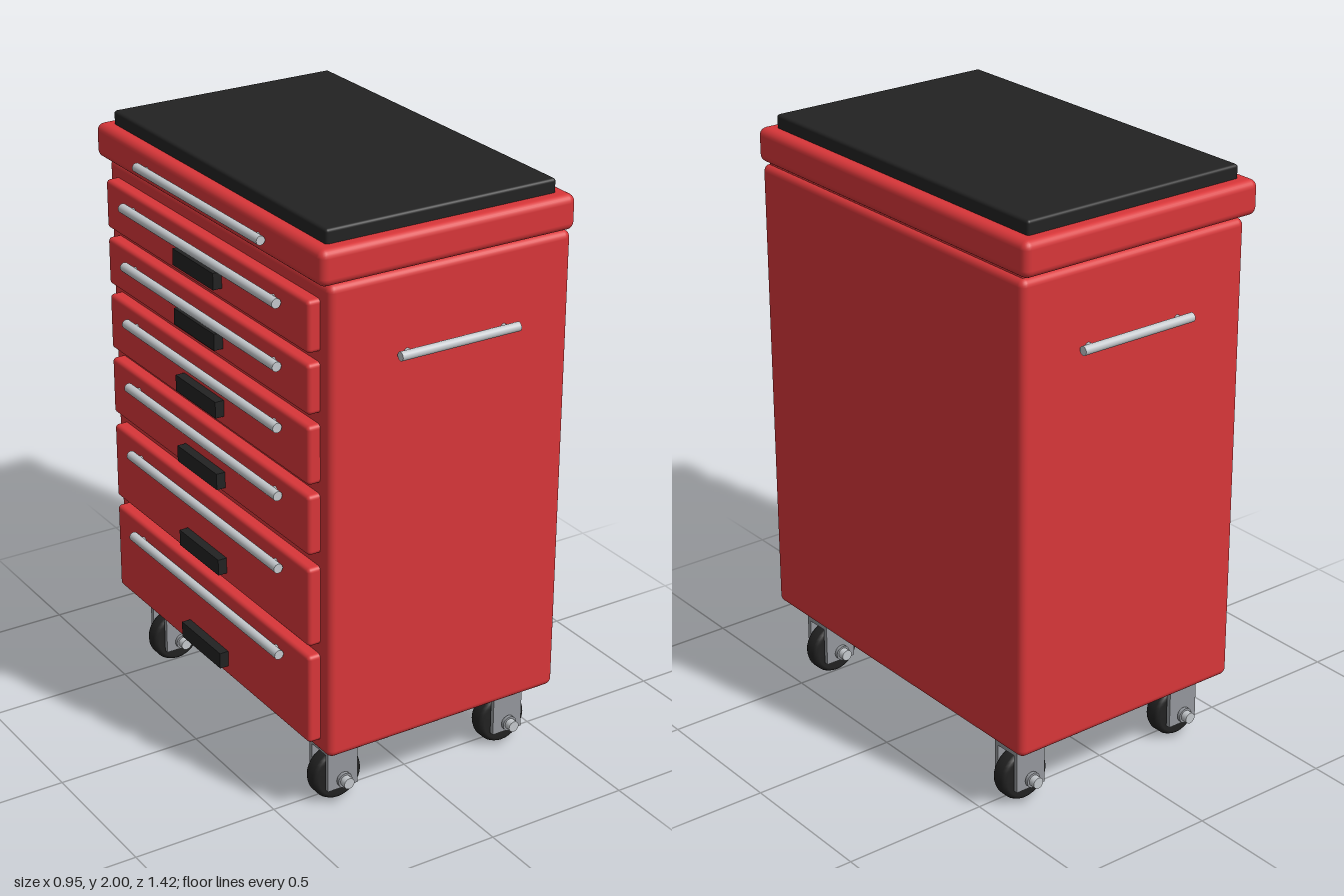
import * as THREE from 'three';
import { RoundedBoxGeometry } from 'three/addons/geometries/RoundedBoxGeometry.js';

const mat = (name, color) => {
  const m = new THREE.MeshStandardMaterial({ color });
  m.name = name;
  return m;
};

export function createModel() {
  const red = mat('red paint', 0xd83639);
  const black = mat('black rubber', 0x222222);
  const steel = mat('bright steel', 0xc4c8cc);
  const grey = mat('grey metal', 0x94979c);

  const model = new THREE.Group();
  model.name = 'toolCart';

  const add = (parent, name, geometry, material, x, y, z) => {
    const m = new THREE.Mesh(geometry, material);
    m.name = name;
    m.position.set(x, y, z);
    parent.add(m);
    return m;
  };
  // Rounded box given by its limits on each axis
  const slab = (parent, name, material, [x0, x1], [y0, y1], [z0, z1], r) =>
    add(parent, name, new RoundedBoxGeometry(x1 - x0, y1 - y0, z1 - z0, 3, r), material,
      (x0 + x1) / 2, (y0 + y1) / 2, (z0 + z1) / 2);
  // Round rod along the given axis
  const rod = (parent, name, material, axis, r, length, x, y, z) => {
    const g = new THREE.CylinderGeometry(r, r, length, 20);
    if (axis === 'x') g.rotateZ(Math.PI / 2);
    if (axis === 'z') g.rotateX(Math.PI / 2);
    return add(parent, name, g, material, x, y, z);
  };

  // Cabinet, lid and top mat
  slab(model, 'cabinet', red, [-0.4, 0.468], [0.247, 1.835], [-0.672, 0.672], 0.024);
  slab(model, 'lidSeam', red, [-0.38, 0.45], [1.82, 1.86], [-0.65, 0.65], 0.005);
  slab(model, 'lid', red, [-0.438, 0.47], [1.84, 1.955], [-0.688, 0.688], 0.026);
  slab(model, 'topMat', black, [-0.393, 0.424], [1.94, 2], [-0.641, 0.641], 0.01);

  // Drawers: bottom, top, handle height, latch height
  const drawers = [
    [1.615, 1.782, 1.73, 1.682],
    [1.418, 1.582, 1.528, 1.482],
    [1.188, 1.382, 1.328, 1.253],
    [0.952, 1.153, 1.1, 1.005],
    [0.637, 0.907, 0.852, 0.7],
    [0.292, 0.602, 0.547, 0.357],
  ];
  drawers.forEach(([y0, y1, handleY, latchY], i) => {
    const drawer = new THREE.Group();
    drawer.name = `drawer${i + 1}`;
    model.add(drawer);
    slab(drawer, 'drawerFront', red, [-0.442, -0.385], [y0, y1], [-0.62, 0.62], 0.014);
    rod(drawer, 'drawerHandle', steel, 'z', 0.016, 0.948, -0.46, handleY, 0);
    for (const s of [-1, 1]) rod(drawer, 'handlePost', steel, 'x', 0.011, 0.03, -0.448, handleY, s * 0.43);
    add(drawer, 'latch', new THREE.BoxGeometry(0.036, 0.055, 0.25), black, -0.455, latchY, 0);
  });

  // Lid handle
  rod(model, 'lidHandle', steel, 'z', 0.015, 0.76, -0.455, 1.895, 0);
  for (const s of [-1, 1]) rod(model, 'lidHandlePost', steel, 'x', 0.01, 0.03, -0.445, 1.895, s * 0.34);

  // Push bars on both ends
  for (const s of [-1, 1]) {
    rod(model, 'pushBar', steel, 'x', 0.015, 0.43, 0.045, 1.576, s * 0.697);
    for (const x of [-0.13, 0.22]) rod(model, 'pushBarPost', steel, 'z', 0.01, 0.04, x, 1.576, s * 0.68);
  }

  // Wheel profile with a rounded tread, turned about the axle
  const tread = [[0, -0.032], [0.074, -0.032], [0.084, -0.027], [0.089, -0.016],
    [0.089, 0.016], [0.084, 0.027], [0.074, 0.032], [0, 0.032]].map(p => new THREE.Vector2(...p));

  // Casters
  for (const x of [-0.29, 0.355]) for (const z of [-0.524, 0.524]) {
    const caster = new THREE.Group();
    caster.name = 'caster';
    caster.position.set(x, 0, z);
    model.add(caster);
    const wheel = new THREE.LatheGeometry(tread, 32).rotateX(Math.PI / 2);
    add(caster, 'wheel', wheel, black, 0, 0.094, 0);
    rod(caster, 'swivel', black, 'y', 0.047, 0.04, 0, 0.234, 0);
    add(caster, 'forkTop', new THREE.BoxGeometry(0.112, 0.03, 0.112), grey, 0, 0.206, 0);
    rod(caster, 'axle', steel, 'z', 0.019, 0.19, 0, 0.094, 0);
    for (const s of [-1, 1]) {
      add(caster, 'forkPlate', new THREE.BoxGeometry(0.112, 0.16, 0.016), grey, 0, 0.141, s * 0.048);
      rod(caster, 'axleNut', grey, 'z', 0.026, 0.012, 0, 0.094, s * 0.066);
    }
  }
  return model;
}
